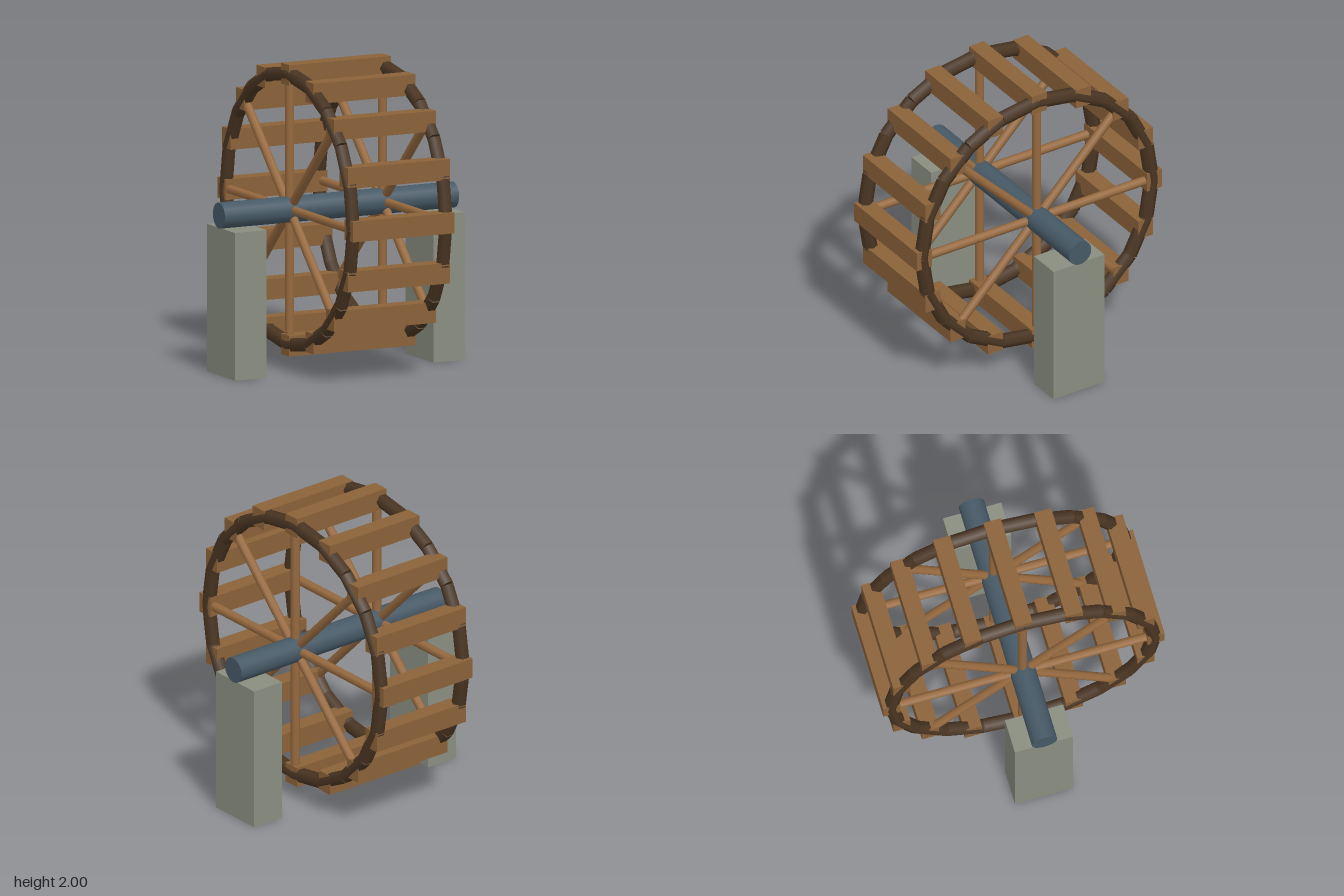
import * as THREE from 'three';

const material = (name, color) => {
  const m = new THREE.MeshStandardMaterial({ color });
  m.name = name;
  return m;
};

export function createModel() {
  const plankWood = material('plank wood', 0x8b6239);
  const spokeWood = material('spoke wood', 0x976a3f);
  const rimWood = material('dark rim wood', 0x4a3522);
  const iron = material('axle iron', 0x465966);
  const stone = material('stone', 0x8a8e80);

  const axleY = 1.05, wheelR = 0.885, rimX = 0.337;
  const model = new THREE.Group();
  model.name = 'waterWheel';

  const add = (parent, name, geometry, mat) => {
    const mesh = new THREE.Mesh(geometry, mat);
    mesh.name = name;
    parent.add(mesh);
    return mesh;
  };

  const wheel = new THREE.Group();
  wheel.name = 'wheel';
  wheel.position.y = axleY;
  model.add(wheel);

  // Axle through both rims
  add(wheel, 'axle', new THREE.CylinderGeometry(0.085, 0.085, 1.7, 20), iron).rotation.z = Math.PI / 2;

  // Rims of straight hexagonal logs, with eight spokes each
  const segments = 20, step = Math.PI * 2 / segments;
  const chord = 2 * wheelR * Math.sin(step / 2);
  const logGeometry = new THREE.CylinderGeometry(0.048, 0.048, chord, 6, 1, false, Math.PI / 2);
  const spokeGeometry = new THREE.CylinderGeometry(0.03, 0.03, 0.87, 8).translate(0, 0.435, 0);
  for (const side of [-1, 1]) {
    const rim = new THREE.Group();
    rim.name = side > 0 ? 'leftRim' : 'rightRim';
    rim.position.x = side * rimX;
    wheel.add(rim);
    for (let i = 0; i < segments; i++) {
      const a = (i + 0.5) * step, r = wheelR * Math.cos(step / 2);
      const log = add(rim, 'rimSegment', logGeometry, rimWood);
      log.position.set(0, r * Math.cos(a), r * Math.sin(a));
      log.rotation.x = a + Math.PI / 2;
    }
    for (let i = 0; i < 8; i++) {
      add(rim, 'spoke', spokeGeometry, spokeWood).rotation.x = i * Math.PI / 4;
    }
  }

  // Upright paddles spaced around the rims
  const paddleGeometry = new THREE.BoxGeometry(0.74, 0.135, 0.115);
  for (let i = 0; i < 16; i++) {
    const a = i * Math.PI / 8;
    add(wheel, 'paddle', paddleGeometry, plankWood)
      .position.set(0, wheelR * Math.cos(a), wheelR * Math.sin(a));
  }

  // Stone posts carrying the axle
  const postGeometry = new THREE.BoxGeometry(0.23, 0.965, 0.39);
  for (const side of [-1, 1]) {
    add(model, side > 0 ? 'leftPost' : 'rightPost', postGeometry, stone)
      .position.set(side * 0.72, 0.4825, 0);
  }

  return model;
}
